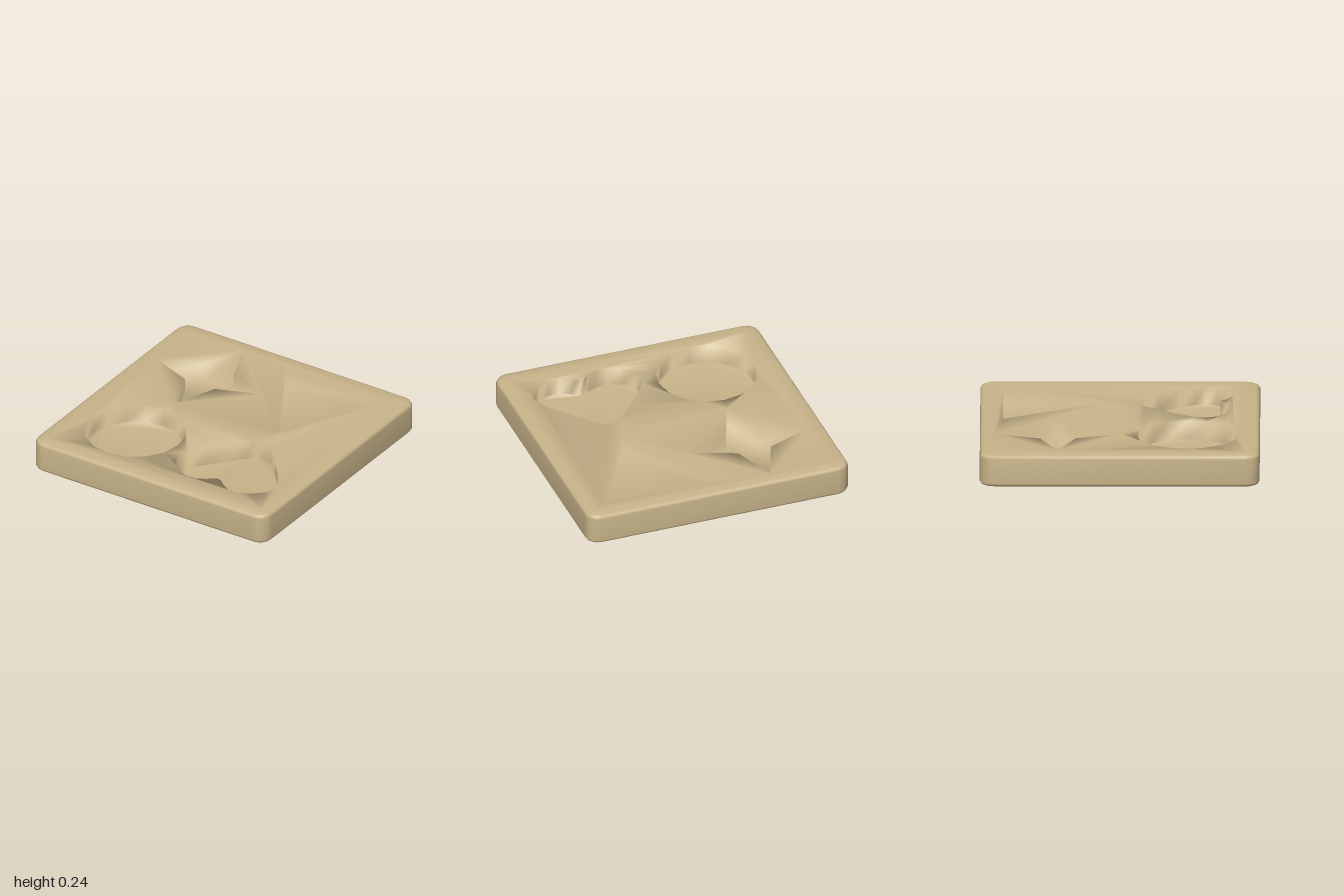
import * as THREE from 'three';
import { mergeGeometries, mergeVertices } from 'three/addons/utils/BufferGeometryUtils.js';

const TOP = 0.24, FLOOR = 0.105;

// Plan points are (x, z); outlines are kept counter-clockwise as seen from above
const outline = (pts) => {
  const loop = pts.map(([x, z]) => new THREE.Vector2(x, -z));
  return THREE.ShapeUtils.isClockWise(loop) ? loop.reverse() : loop;
};

// Rounded square, pulled in by an inset
function roundedSquare(inset) {
  const r = 0.1 - inset, c = 0.9, pts = [];
  [[1, 1], [-1, 1], [-1, -1], [1, -1]].forEach(([sx, sz], k) => {
    for (let i = 0; i <= 4; i++) {
      const a = (k + i / 4) * Math.PI / 2;
      pts.push([sx * c + r * Math.cos(a), sz * c + r * Math.sin(a)]);
    }
  });
  return outline(pts);
}

// Wall through a stack of [loop, height]; rising stacks face out, falling stacks face in
function wall(stack) {
  const n = stack[0][0].length, pos = [], index = [];
  for (const [loop, y] of stack) for (const p of loop) pos.push(p.x, y, -p.y);
  for (let k = 0; k < stack.length - 1; k++) {
    for (let i = 0; i < n; i++) {
      const a = k * n + i, b = k * n + (i + 1) % n;
      index.push(a, b, b + n, a, b + n, a + n);
    }
  }
  const geo = new THREE.BufferGeometry();
  geo.setAttribute('position', new THREE.Float32BufferAttribute(pos, 3));
  geo.setIndex(index);
  return geo;
}

// Flat horizontal face, optionally pierced
function face(loop, y, holes = [], down = false) {
  const shape = new THREE.Shape(loop);
  shape.holes = holes.map((h) => new THREE.Path(h));
  const geo = new THREE.ShapeGeometry(shape);
  geo.rotateX(down ? Math.PI / 2 : -Math.PI / 2).translate(0, y, 0);
  geo.deleteAttribute('uv');
  geo.deleteAttribute('normal');
  return geo;
}

function starOutline() {
  const pts = [];
  for (let i = 0; i < 8; i++) {
    const a = i * Math.PI / 4, r = i % 2 ? 0.177 : 0.45;
    pts.push([-0.417 + r * Math.cos(a), -0.445 + r * Math.sin(a)]);
  }
  return outline(pts);
}

function circleOutline() {
  const pts = [];
  for (let i = 0; i < 16; i++) {
    const a = i * Math.PI / 8;
    pts.push([-0.443 + 0.366 * Math.cos(a), 0.48 + 0.366 * Math.sin(a)]);
  }
  return outline(pts);
}

// Half of the heart, mirrored about its axis
function heartOutline() {
  const half = [[0.065, 0.13], [0.12, 0.18], [0.2, 0.275], [0.33, 0.43], [0.39, 0.53], [0.417, 0.61],
    [0.385, 0.69], [0.31, 0.76], [0.225, 0.8], [0.14, 0.8], [0.07, 0.76], [0.03, 0.725]];
  const right = half.map(([x, z]) => [0.422 + x, z]);
  const left = half.map(([x, z]) => [0.422 - x, z]).reverse();
  return outline([[0.422, 0.105], ...right, [0.422, 0.715], ...left]);
}

export function createModel() {
  const group = new THREE.Group();
  group.name = 'shapeBoard';

  const recesses = [
    starOutline(),
    outline([[-0.03, -0.838], [0.848, -0.838], [0.41, -0.08]]),
    circleOutline(),
    heartOutline(),
  ];

  // Softly rounded rim: [inset, height]
  const rim = [[0.085, 0], [0.03, 0.005], [0.01, 0.013], [0, 0.03],
    [0, 0.21], [0.01, 0.227], [0.03, 0.235], [0.085, TOP]];
  const edge = roundedSquare(0.085);

  const parts = [
    wall(rim.map(([inset, y]) => [roundedSquare(inset), y])),
    face(edge, TOP, recesses),
    face(edge, 0, [], true),
  ];
  // Sunken pockets
  for (const loop of recesses) {
    parts.push(wall([[loop, TOP], [loop, FLOOR]]), face(loop, FLOOR));
  }

  // One welded surface with soft shading throughout
  const geometry = mergeVertices(mergeGeometries(parts), 1e-4);
  geometry.computeVertexNormals();
  const board = new THREE.Mesh(geometry, new THREE.MeshStandardMaterial({ color: 0xc8b48a }));
  board.name = 'boardWithRecesses';
  group.add(board);
  return group;
}
